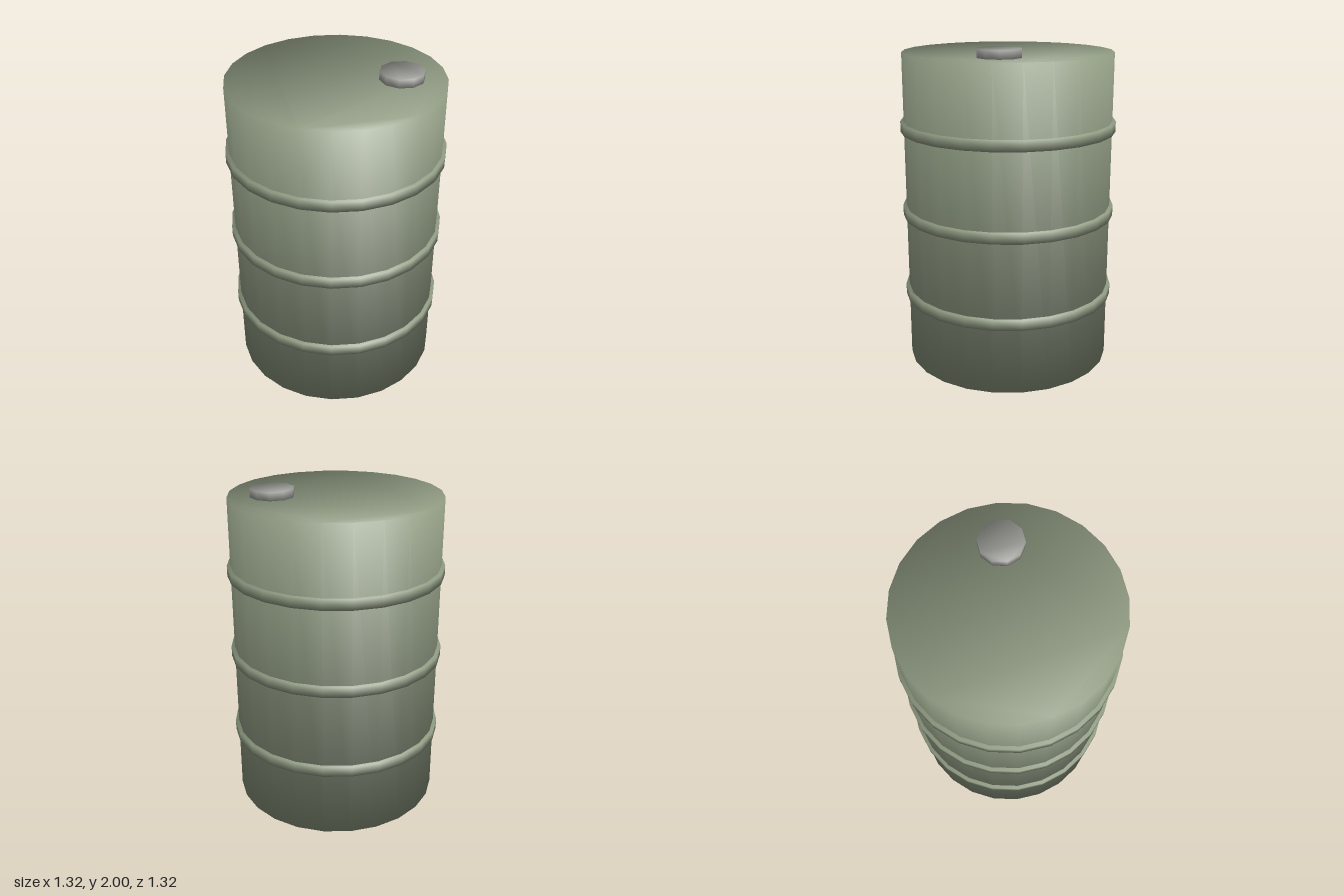
import * as THREE from 'three';

const green = new THREE.MeshStandardMaterial({ color: 0x8f9a82 });
const grey = new THREE.MeshStandardMaterial({ color: 0x989894 });

// Low-poly solid disc between two heights, without centre vertices,
// with normals shared by the wall and the flat ends.
function softDisc(name, radius, bottom, top, sides, material) {
  const points = [];
  for (let i = 0; i < sides; i++) {
    const a = (i / sides) * Math.PI * 2 + Math.PI / 2;
    points.push(new THREE.Vector2(radius * Math.cos(a), radius * Math.sin(a)));
  }
  const height = top - bottom;
  const geometry = new THREE.ExtrudeGeometry(new THREE.Shape(points), { depth: height, bevelEnabled: false });
  geometry.rotateX(-Math.PI / 2);
  const pos = geometry.attributes.position;
  const n = new THREE.Vector3();
  for (let i = 0; i < pos.count; i++) {
    const up = pos.getY(i) > height / 2 ? 1 : -1;
    n.set(pos.getX(i) / radius, up, pos.getZ(i) / radius).normalize();
    geometry.attributes.normal.setXYZ(i, n.x, n.y, n.z);
  }
  geometry.translate(0, bottom, 0);
  const mesh = new THREE.Mesh(geometry, material);
  mesh.name = name;
  return mesh;
}

export function createModel() {
  const barrel = new THREE.Group();
  barrel.name = 'barrel';

  // Drum body
  barrel.add(softDisc('drumBody', 0.64, 0, 1.95, 24, green));

  // Three raised hoops
  ['lowerHoop', 'middleHoop', 'upperHoop'].forEach((name, i) => {
    const y = 0.445 + i * 0.529;
    barrel.add(softDisc(name, 0.661, y - 0.032, y + 0.032, 24, green));
  });

  // Filler cap near the back left of the lid
  const cap = softDisc('fillerCap', 0.132, 1.94, 2, 10, grey);
  cap.position.set(0.265, 0, -0.267);
  barrel.add(cap);

  return barrel;
}
